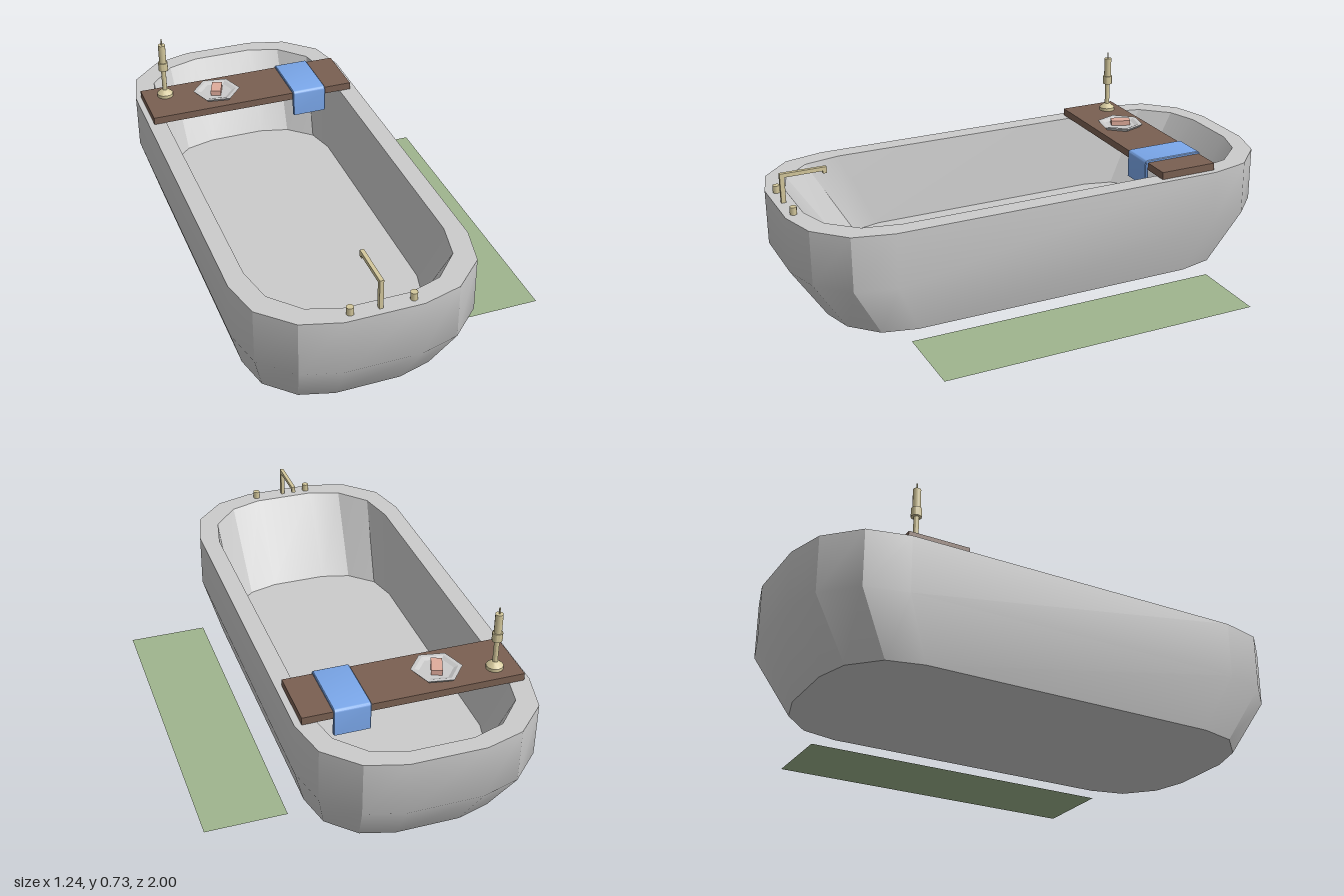
import * as THREE from 'three';
import { mergeGeometries, toCreasedNormals } from 'three/addons/utils/BufferGeometryUtils.js';

const mat = (color, opts = {}) => new THREE.MeshStandardMaterial({ color, ...opts });
const GREY = mat(0xcccccc), WOOD = mat(0x7a6052), BRASS = mat(0xd4c89c);
const BLUE = mat(0x7aa7ea), PINK = mat(0xe0ac9c), GREEN = mat(0x9fb58e, { side: THREE.DoubleSide });
const TUB_X = -0.17, RIM = 0.44;

// Quarter of the tub outline, mirrored into a 16-sided loop (+x side first, towards +z)
const quarter = [[0.453, 0.68], [0.415, 0.84], [0.295, 0.957], [0.145, 1]];
const flipped = quarter.slice().reverse();
const outline = [
  ...quarter, ...flipped.map(([x, z]) => [-x, z]),
  ...quarter.map(([x, z]) => [-x, -z]), ...flipped.map(([x, z]) => [x, -z]),
];
// Panels that shade smoothly: sides, corner facets and rounded ends
const runs = [[1, 2], [2, 3, 4, 5], [5, 6], [6, 7, 8, 9], [9, 10], [10, 11, 12, 13], [13, 14], [14, 15, 0, 1]];

// Loft through rings of [y, scaleX, scaleZ, shiftZ]
function loft(rings) {
  const panels = runs.map((run) => {
    const pos = [], index = [], n = run.length;
    for (const [y, sx, sz, dz = 0] of rings) {
      for (const i of run) pos.push(outline[i][0] * sx, y, outline[i][1] * sz + dz);
    }
    for (let r = 0; r < rings.length - 1; r++) {
      for (let i = 0; i < n - 1; i++) {
        const a = r * n + i, b = a + 1, c = a + n, d = c + 1;
        index.push(a, c, b, b, c, d);
      }
    }
    const g = new THREE.BufferGeometry();
    g.setAttribute('position', new THREE.Float32BufferAttribute(pos, 3));
    g.setIndex(index);
    g.computeVertexNormals();
    return g;
  });
  return mergeGeometries(panels);
}

function add(parent, name, geometry, material, x = 0, y = 0, z = 0) {
  const mesh = new THREE.Mesh(geometry, material);
  mesh.name = name;
  mesh.position.set(x, y, z);
  parent.add(mesh);
  return mesh;
}

function group(parent, name, x = 0, y = 0, z = 0) {
  const g = new THREE.Group();
  g.name = name;
  g.position.set(x, y, z);
  parent.add(g);
  return g;
}

function lathe(points, sides, crease = 0.6) {
  const g = new THREE.LatheGeometry(points.map(([r, y]) => new THREE.Vector2(r, y)), sides);
  return toCreasedNormals(g, crease);
}

export function createModel() {
  const model = new THREE.Group();
  model.name = 'bathtubSet';

  // Tub shell
  const tub = group(model, 'tub', TUB_X);
  const bottom = [0, 0.86, 0.86], rimOuter = [RIM, 1, 1];
  const rimInner = [RIM, 0.84, 0.93, -0.004], floor = [0.12, 0.78, 0.73, -0.02];
  add(tub, 'outerWall', loft([bottom, [0.22, 1, 1], rimOuter]), GREY);
  add(tub, 'rim', loft([rimOuter, rimInner]), GREY);
  add(tub, 'innerWall', loft([rimInner, floor]), GREY);
  add(tub, 'tubFloor', loft([floor, [0.12, 0, 0, -0.02]]), GREY);
  add(tub, 'underside', loft([[0, 0, 0], bottom]), GREY);

  // Tap: post, spout arm, nozzle and two handles
  const tap = group(model, 'tap', -0.175, RIM, 0.965);
  add(tap, 'post', new THREE.BoxGeometry(0.015, 0.118, 0.018), BRASS, 0, 0.059, 0);
  add(tap, 'spout', new THREE.BoxGeometry(0.015, 0.016, 0.18), BRASS, 0, 0.11, -0.085);
  add(tap, 'nozzle', new THREE.BoxGeometry(0.015, 0.026, 0.015), BRASS, 0, 0.105, -0.1675);
  for (const x of [-0.108, 0.124]) {
    add(tap, 'handle', new THREE.CylinderGeometry(0.014, 0.014, 0.03, 8), BRASS, x, 0.015, -0.003);
  }

  // Wooden tray across the rim
  add(model, 'tray', new THREE.BoxGeometry(0.857, 0.03, 0.239), WOOD, -0.1715, 0.455, -0.565);

  // Candlestick
  const candlestick = group(model, 'candlestick', -0.51, 0.47, -0.615);
  add(candlestick, 'stand', lathe([
    [0, 0], [0.033, 0], [0.033, 0.013], [0.015, 0.028], [0.01, 0.03], [0.01, 0.122],
    [0.02, 0.122], [0.02, 0.157], [0.015, 0.157],
  ], 12), BRASS);
  add(candlestick, 'candle', new THREE.CylinderGeometry(0.015, 0.015, 0.1, 12), BRASS, 0, 0.187, 0);
  add(candlestick, 'wick', new THREE.CylinderGeometry(0.003, 0.003, 0.028, 6), BRASS, 0, 0.249, 0);

  // Six-sided soap dish with a bar of soap
  const dish = group(model, 'soapDish', -0.3, 0.47, -0.565);
  const plate = add(dish, 'plate', lathe([
    [0, 0], [0.085, 0], [0.098, 0.013], [0.082, 0.013], [0.065, 0.006], [0, 0.006],
  ], 6, 0.3), GREY);
  plate.rotation.y = Math.PI / 2 - 0.18 - Math.PI / 2 + Math.PI / 6;
  const soap = add(dish, 'soap', new THREE.BoxGeometry(0.042, 0.022, 0.08), PINK, 0, 0.016, 0);
  soap.rotation.y = -0.36;

  // Towel folded over the tray
  const arch = new THREE.Shape();
  const h = 0.125, top = 0.477, hem = 0.37, t = 0.008;
  arch.moveTo(-h, hem);
  arch.lineTo(-h + t, hem);
  arch.lineTo(-h + t, top - t);
  arch.lineTo(h - t, top - t);
  arch.lineTo(h - t, hem);
  arch.lineTo(h, hem);
  arch.lineTo(h, top - 0.01);
  arch.quadraticCurveTo(h, top, h - 0.014, top);
  arch.lineTo(-h + 0.014, top);
  arch.quadraticCurveTo(-h, top, -h, top - 0.01);
  const towel = new THREE.ExtrudeGeometry(arch, {
    depth: 0.136, bevelEnabled: true, bevelSize: 0.003, bevelThickness: 0.003, bevelSegments: 1, curveSegments: 4,
  });
  towel.rotateY(Math.PI / 2);
  add(model, 'towel', toCreasedNormals(towel, 0.6), BLUE, 0.001, 0, -0.563);

  // Flat bath mat beside the tub
  const mat2 = add(model, 'bathMat', new THREE.PlaneGeometry(0.32, 1.29), GREEN, 0.46, 0.001, 0);
  mat2.rotation.x = -Math.PI / 2;

  return model;
}
